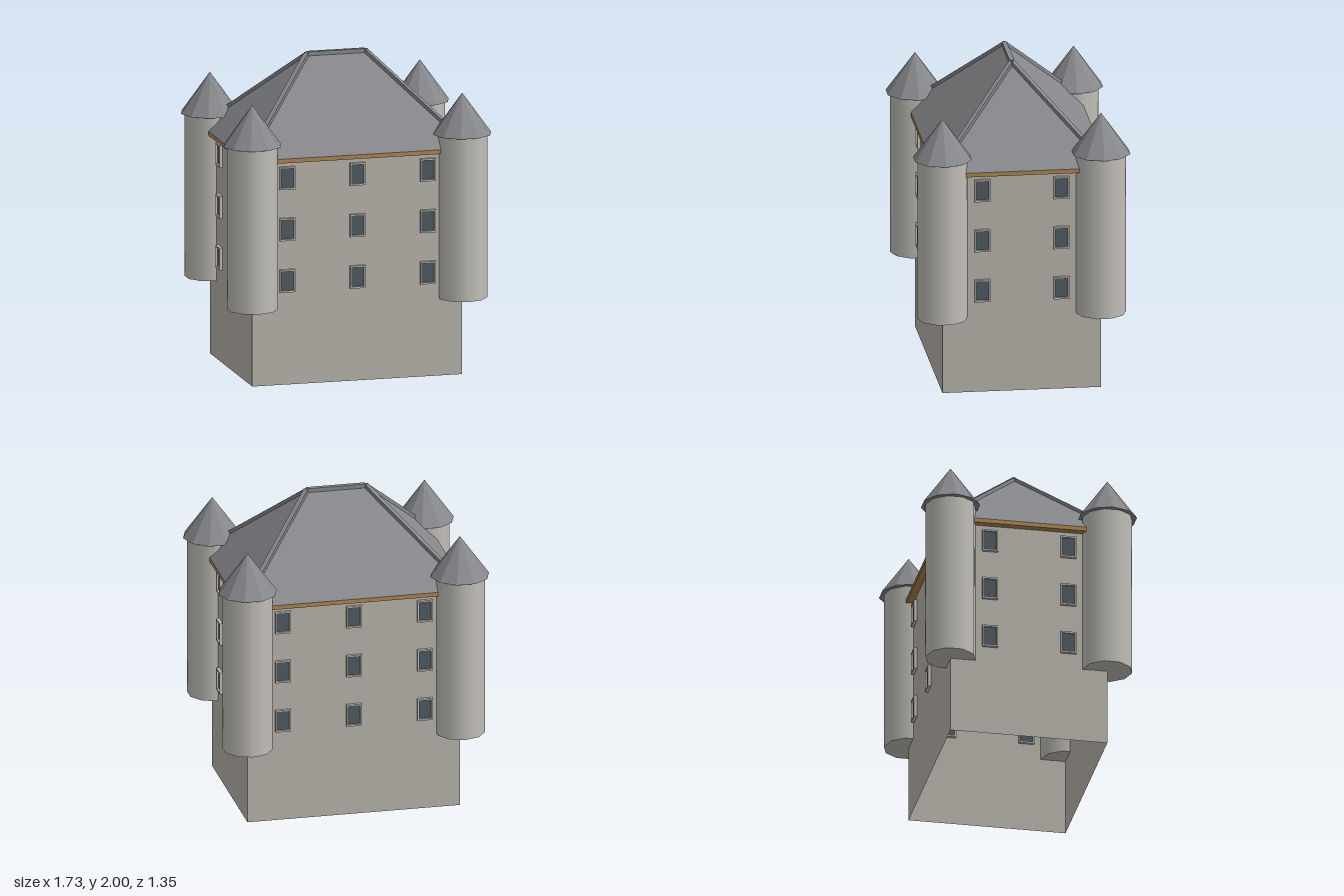
import * as THREE from 'three';

const mat = (name, color, side = THREE.FrontSide, flatShading = false) =>
  new THREE.MeshStandardMaterial({ name, color, side, flatShading });

export function createModel() {
  const wallMat = mat('wall stone', 0xbab6ae, THREE.DoubleSide);
  const towerMat = mat('tower stone', 0xc2bfb8);
  const frameMat = mat('window frame', 0xc4c0b6);
  const glassMat = mat('window glass', 0x505b64);
  const roofMat = mat('slate roof', 0x88898d, THREE.FrontSide, true);
  const eaveMat = mat('timber eaves', 0xad8553);

  const model = new THREE.Group();
  model.name = 'castleKeep';
  const add = (name, geometry, material, x = 0, y = 0, z = 0, parent = model) => {
    const mesh = new THREE.Mesh(geometry, material);
    mesh.name = name;
    mesh.position.set(x, y, z);
    parent.add(mesh);
    return mesh;
  };

  const W = 0.677, D = 0.497, H = 1.43;      // half width, half depth, wall height
  const EX = 0.725, EZ = 0.542;              // eaves half extents
  const EAVE = 1.447, APEX = 1.987, RIDGE = 0.187;

  // Window: hollow frame straddling the wall, with a recessed pane
  const rect = (Type, w, h) => new Type([
    new THREE.Vector2(-w, -h), new THREE.Vector2(w, -h),
    new THREE.Vector2(w, h), new THREE.Vector2(-w, h)]);
  const frameShape = rect(THREE.Shape, 0.049, 0.072);
  frameShape.holes.push(rect(THREE.Path, 0.039, 0.061));
  const frameGeo = new THREE.ExtrudeGeometry(frameShape, { depth: 0.04, bevelEnabled: false });
  frameGeo.translate(0, 0, -0.02);
  const paneGeo = new THREE.BoxGeometry(0.08, 0.124, 0.016);

  // Four walls, open underneath, each with its grid of windows
  const sides = [
    { name: 'front', turn: 0, half: W, out: D, columns: [-0.453, 0, 0.453] },
    { name: 'left', turn: 1, half: D, out: W, columns: [-0.248, 0.248] },
    { name: 'back', turn: 2, half: W, out: D, columns: [-0.453, 0, 0.453] },
    { name: 'right', turn: 3, half: D, out: W, columns: [-0.248, 0.248] },
  ];
  for (const s of sides) {
    const side = new THREE.Group();
    side.name = s.name + 'Side';
    side.rotation.y = s.turn * Math.PI / 2;
    model.add(side);
    add(s.name + 'Wall', new THREE.PlaneGeometry(s.half * 2, H), wallMat, 0, H / 2, s.out, side);
    for (const x of s.columns) for (const y of [0.662, 0.99, 1.317]) {
      add('windowFrame', frameGeo, frameMat, x, y, s.out, side);
      add('windowPane', paneGeo, glassMat, x, y, s.out, side);
    }
  }

  // Timber eaves slab under the roof
  add('eaves', new THREE.BoxGeometry(EX * 2, EAVE - 1.42, EZ * 2), eaveMat, 0, (EAVE + 1.42) / 2, 0);

  // Hipped roof: two long slopes and two triangular ends
  const corner = (x, z) => [x * EX, EAVE, z * EZ];
  const peak = (x) => [x * RIDGE, APEX, 0];
  const faces = [];
  for (const s of [1, -1]) {
    faces.push(corner(-s, s), corner(s, s), peak(s));
    faces.push(corner(-s, s), peak(s), peak(-s));
    faces.push(corner(s, s), corner(s, -s), peak(s));
  }
  const roofGeo = new THREE.BufferGeometry();
  roofGeo.setAttribute('position', new THREE.Float32BufferAttribute(faces.flat(), 3));
  roofGeo.computeVertexNormals();
  add('roof', roofGeo, roofMat);

  // Caps along the ridge and hips
  const cap = (name, a, b) => {
    const from = new THREE.Vector3(...a), to = new THREE.Vector3(...b);
    const mid = from.clone().add(to).multiplyScalar(0.5);
    const beam = add(name, new THREE.BoxGeometry(0.03, 0.026, from.distanceTo(to)), roofMat, ...mid);
    beam.lookAt(to);
  };
  cap('ridgeCap', peak(-1), peak(1));
  for (const x of [-1, 1]) for (const z of [-1, 1]) cap('hipCap', corner(x, z), peak(x));

  // Corner turrets with conical roofs
  const towerGeo = new THREE.CylinderGeometry(0.157, 0.157, 1.05, 10);
  const coneGeo = new THREE.ConeGeometry(0.186, 0.258, 10);
  coneGeo.rotateY(Math.PI / 2);
  for (const x of [-W, W]) for (const z of [-D, D]) {
    add('turret', towerGeo, towerMat, x, 1.017, z);
    add('turretRoof', coneGeo, roofMat, x, 1.664, z);
  }
  return model;
}
